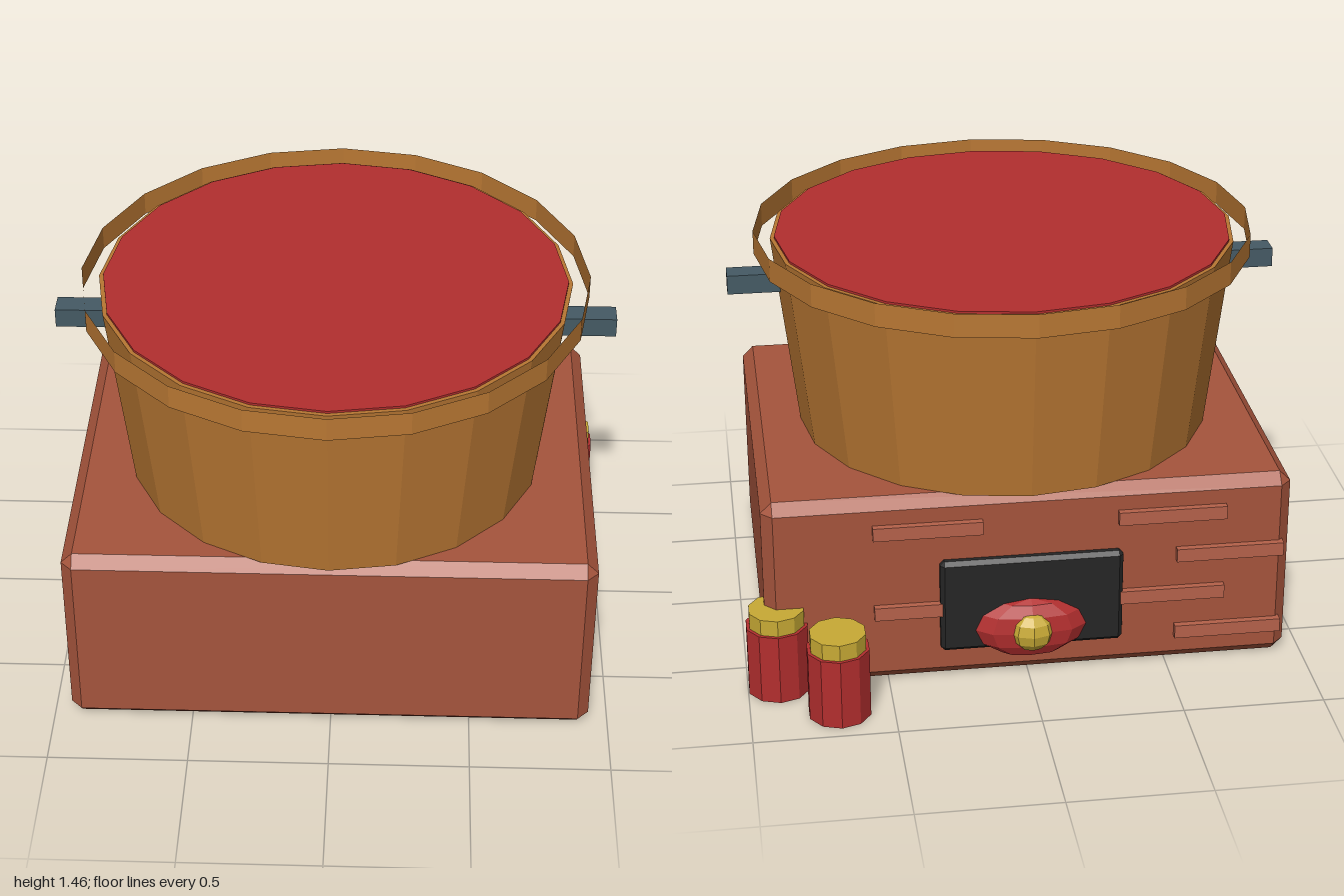
import * as THREE from 'three';
import { ConvexGeometry } from 'three/addons/geometries/ConvexGeometry.js';

const mat = (name, color, extra = {}) => {
  const m = new THREE.MeshStandardMaterial({ color, flatShading: true, ...extra });
  m.name = name;
  return m;
};

// Box with every edge cut at 45 degrees
function chamferBox(w, h, d, c) {
  const pts = [];
  for (const x of [-1, 1]) for (const y of [-1, 1]) for (const z of [-1, 1])
    for (let axis = 0; axis < 3; axis++) {
      const inset = [c, c, c];
      inset[axis] = 0;
      pts.push(new THREE.Vector3(x * (w / 2 - inset[0]), y * (h / 2 - inset[1]), z * (d / 2 - inset[2])));
    }
  return new ConvexGeometry(pts);
}

export function createModel() {
  const group = new THREE.Group();
  const brick = mat('brick', 0xa5543c);
  const lightBrick = mat('lightBrick', 0xb5614a);
  const copper = mat('copper', 0xb87733, { side: THREE.DoubleSide });
  const red = mat('red', 0xb22e2e);
  const yellow = mat('yellow', 0xc8aa35);
  const iron = mat('iron', 0x455a64);
  const soot = mat('soot', 0x252525);

  const add = (name, geometry, material, x, y, z) => {
    const mesh = new THREE.Mesh(geometry, material);
    mesh.name = name;
    mesh.position.set(x, y, z);
    group.add(mesh);
    return mesh;
  };
  const cx = -0.005, cz = 0.055;

  // Brick stove
  add('stoveBase', chamferBox(1.87, 0.72, 1.44, 0.04), brick, cx, 0.36, 0.06);

  // Raised bricks on the stove's back: [centre x, centre y]
  const bricks = [[0.355, 0.6], [-0.51, 0.6], [-0.72, 0.44], [0.355, 0.285], [-0.51, 0.285], [-0.72, 0.13]];
  for (const [x, y] of bricks) add('raisedBrick', new THREE.BoxGeometry(0.385, 0.05, 0.045), lightBrick, x, y, -0.6625);

  // Fire opening with flames
  add('fireOpening', chamferBox(0.65, 0.355, 0.05, 0.015), soot, -0.01, 0.297, -0.667);
  add('outerFlame', new THREE.SphereGeometry(1, 8, 6), red, -0.005, 0.2, -0.69).scale.set(0.2, 0.115, 0.06);
  add('innerFlame', new THREE.SphereGeometry(1, 8, 6), yellow, -0.005, 0.2, -0.72).scale.set(0.08, 0.075, 0.06);

  // Tapered pot with a loose rim band and its contents
  add('pot', new THREE.CylinderGeometry(0.835, 0.75, 0.71, 20), copper, cx, 1.075, cz);
  add('potRim', new THREE.CylinderGeometry(0.895, 0.895, 0.085, 20, 1, true), copper, cx, 1.4175, cz);
  add('potContents', new THREE.CylinderGeometry(0.82, 0.82, 0.009, 20), red, cx, 1.4335, cz);

  // Handles
  for (const side of [-1, 1])
    add('handle', new THREE.BoxGeometry(0.2, 0.07, 0.085), iron, cx + side * 0.895, 1.275, cz);

  // Lidded jars
  for (const [x, z] of [[0.69, -0.84], [0.89, -0.645]]) {
    add('jar', new THREE.CylinderGeometry(0.112, 0.112, 0.26, 10), red, x, 0.13, z);
    add('jarLid', new THREE.CylinderGeometry(0.1, 0.1, 0.06, 10), yellow, x, 0.29, z);
  }

  return group;
}
